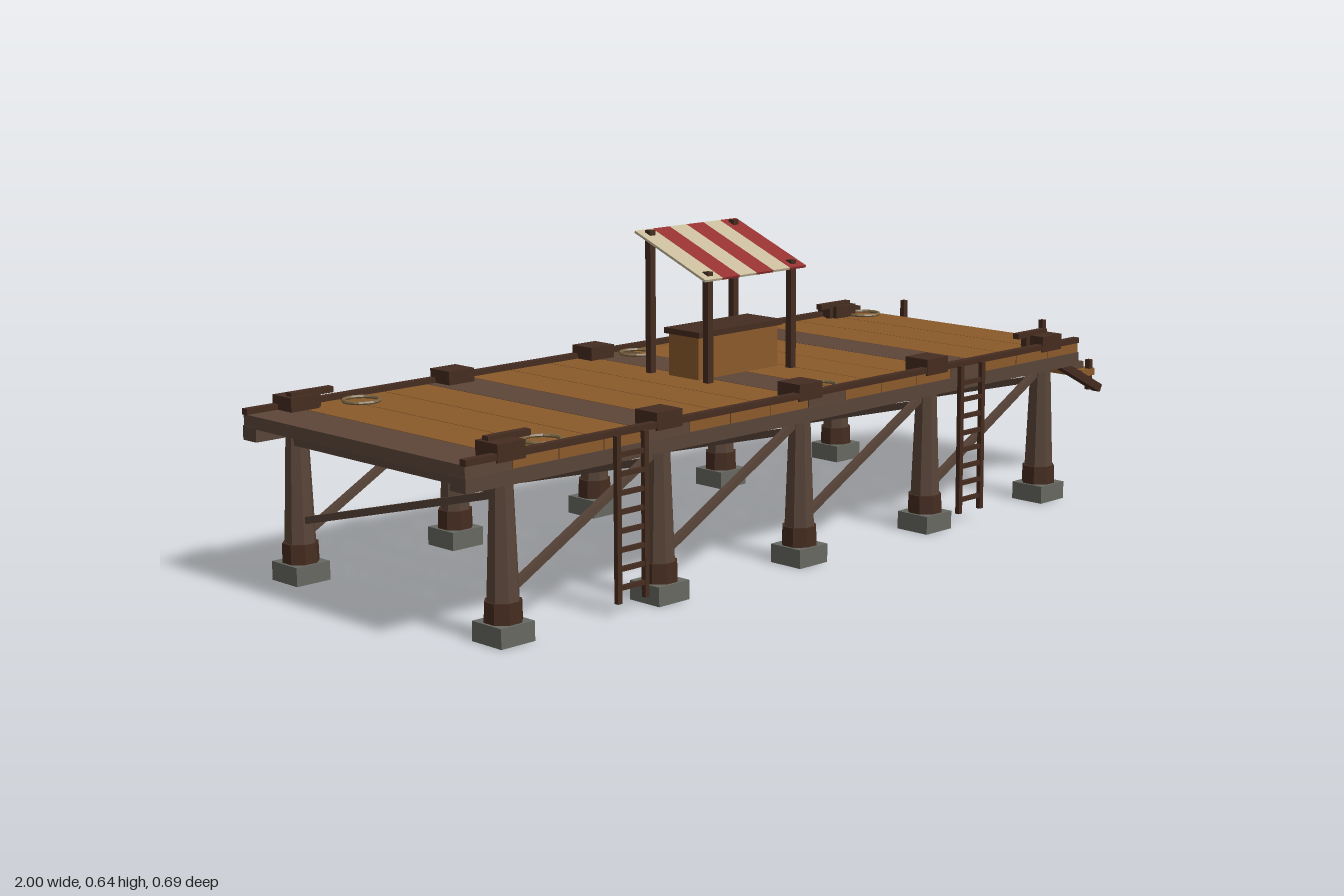
import * as THREE from 'three';

const mat = (color) => new THREE.MeshStandardMaterial({ color, flatShading: true });
const M = {
  plank: mat(0x8b5a2b), grey: mat(0x5c4638), post: mat(0x584438), dark: mat(0x452c20),
  stone: mat(0x666861), rope: mat(0x7a6340), red: mat(0x963232), cream: mat(0xc8bc9c),
};

function add(parent, name, geometry, material, x, y, z) {
  const mesh = new THREE.Mesh(geometry, material);
  mesh.name = name;
  mesh.position.set(x, y, z);
  parent.add(mesh);
  return mesh;
}

function box(parent, name, material, w, h, d, x, y, z) {
  return add(parent, name, new THREE.BoxGeometry(w, h, d), material, x, y, z);
}

// Square bar running between two points
function bar(parent, name, material, a, b, w, h = w) {
  const from = new THREE.Vector3(...a), to = new THREE.Vector3(...b);
  const mid = from.clone().add(to).multiplyScalar(0.5);
  const mesh = box(parent, name, material, w, h, from.distanceTo(to), mid.x, mid.y, mid.z);
  mesh.lookAt(to);
  return mesh;
}

function group(parent, name) {
  const g = new THREE.Group();
  g.name = name;
  parent.add(g);
  return g;
}

export function createModel() {
  const pier = new THREE.Group();
  pier.name = 'pier';
  const postX = [-0.895, -0.505, -0.115, 0.275, 0.665];
  const sides = [1, -1];
  const postZ = 0.302;

  // Deck planks, every fourth one weathered
  const deck = group(pier, 'deck');
  const x0 = -1, x1 = 0.765, count = 16, pitch = (x1 - x0) / count;
  for (let i = 0; i < count; i++) {
    box(deck, 'plank', i % 4 ? M.plank : M.grey, pitch - 0.002, 0.025, 0.655,
      x0 + pitch * (i + 0.5), 0.3295, 0);
  }
  for (const s of sides) {
    box(deck, 'sideBeam', M.post, x1 - x0, 0.028, 0.042, (x0 + x1) / 2, 0.306, s * 0.309);
    box(deck, 'edgeRail', M.dark, x1 - x0, 0.012, 0.016, (x0 + x1) / 2, 0.347, s * 0.323);
  }

  // Posts on stone footings, with collars, caps and braces
  const supports = group(pier, 'supports');
  postX.forEach((x, i) => {
    box(supports, 'crossBeam', M.post, 0.035, 0.044, 0.58, x, 0.295, 0);
    bar(supports, 'crossBrace', M.post, [x, 0.268, 0.287], [x, 0.122, -0.285], 0.014);
    for (const s of sides) {
      const z = s * postZ;
      box(supports, 'footing', M.stone, 0.08, 0.038, 0.08, x, 0.019, z);
      const collar = add(supports, 'collar',
        new THREE.CylinderGeometry(0.036, 0.037, 0.039, 8), M.dark, x, 0.0575, z);
      collar.rotation.y = Math.PI / 8;
      const post = add(supports, 'post',
        new THREE.CylinderGeometry(0.0225, 0.033, 0.26, 8), M.post, x, 0.168, z);
      post.rotation.y = Math.PI / 8;
      box(supports, 'postCap', M.dark, 0.066, 0.034, 0.06, x, 0.353, z);
      if (i < postX.length - 1) {
        bar(supports, 'sideBrace', M.post, [x + 0.03, 0.1, z], [postX[i + 1] - 0.02, 0.285, z], 0.014);
      }
    }
  });

  // Mooring cleats and coiled ropes
  for (const s of sides) {
    for (const x of [-0.87, 0.64]) {
      box(pier, 'cleat', M.dark, 0.1, 0.012, 0.016, x, 0.372, s * 0.29);
      box(pier, 'cleatFoot', M.dark, 0.04, 0.03, 0.014, x, 0.355, s * 0.29);
    }
    for (const x of [-0.765, -0.02, 0.72]) {
      const coil = add(pier, 'ropeCoil', new THREE.TorusGeometry(0.036, 0.004, 6, 16), M.rope,
        x, 0.345, s * 0.266);
      coil.rotation.x = Math.PI / 2;
    }
  }

  // Ladders on the front
  for (const x of [-0.613, 0.377]) {
    const ladder = group(pier, 'ladder');
    for (const s of sides) box(ladder, 'ladderRail', M.dark, 0.011, 0.318, 0.01, x + s * 0.035, 0.186, 0.34);
    for (let i = 0; i < 8; i++) {
      box(ladder, 'rung', M.dark, 0.07, 0.009, 0.008, x, 0.056 + i * 0.036, 0.34);
    }
  }

  // Stairs at the end
  const stairs = group(pier, 'stairs');
  for (let i = 0; i < 5; i++) {
    box(stairs, 'tread', i % 2 ? M.grey : M.plank, 0.048, 0.016, 0.424,
      0.787 + i * 0.0445, 0.32 - i * 0.022, 0);
  }
  for (const s of sides) {
    bar(stairs, 'stringer', M.dark, [0.765, 0.308, s * 0.218], [0.992, 0.194, s * 0.218], 0.022, 0.018);
    box(stairs, 'upperRailPost', M.dark, 0.012, 0.085, 0.012, 0.795, 0.3325, s * 0.205);
    box(stairs, 'lowerRailPost', M.dark, 0.012, 0.07, 0.012, 0.975, 0.226, s * 0.205);
  }

  // Market stall with a sloping striped awning
  const stall = group(pier, 'stall');
  const cx = -0.029;
  box(stall, 'counter', M.plank, 0.235, 0.09, 0.086, cx, 0.386, 0.006);
  box(stall, 'counterTop', M.dark, 0.247, 0.012, 0.102, cx, 0.436, 0.006);
  for (const s of sides) {
    box(stall, 'frontPole', M.dark, 0.015, 0.23, 0.015, cx + s * 0.123, 0.455, 0.082);
    box(stall, 'backPole', M.dark, 0.015, 0.3, 0.015, cx + s * 0.123, 0.49, -0.085);
  }
  const stripe = 0.298 / 6;
  for (let i = 0; i < 6; i++) {
    const x = cx - 0.149 + stripe * (i + 0.5);
    bar(stall, 'awningStripe', i % 2 ? M.red : M.cream, [x, 0.555, 0.1], [x, 0.637, -0.104], stripe, 0.005);
  }
  return pier;
}
